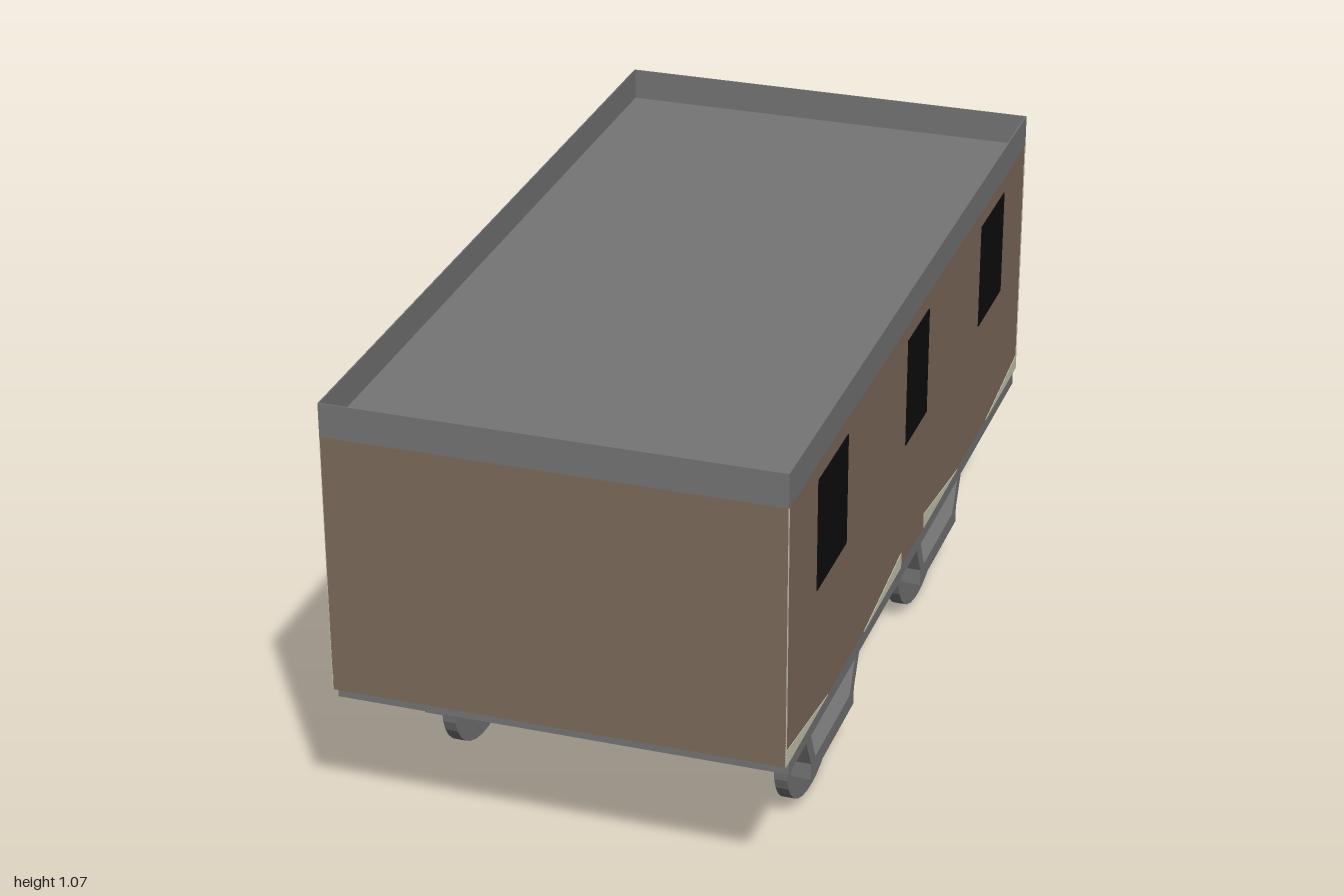
import * as THREE from 'three';

export function createModel() {
  const model = new THREE.Group();
  const material = (name, color, extra = {}) => {
    const m = new THREE.MeshStandardMaterial({ color, flatShading: true, ...extra });
    m.name = name;
    return m;
  };
  const brown = material('brown wall', 0x7e6b5c);
  const grey = material('grey metal', 0x757575, { side: THREE.DoubleSide });
  const black = material('black glass', 0x0d0d0d);
  const cream = material('cream trim', 0xc9c7b0, { side: THREE.DoubleSide });

  const add = (name, geometry, mat, x = 0, y = 0, z = 0) => {
    const mesh = new THREE.Mesh(geometry, mat);
    mesh.name = name;
    mesh.position.set(x, y, z);
    model.add(mesh);
    return mesh;
  };
  const box = (name, mat, w, h, d, x, y, z) =>
    add(name, new THREE.BoxGeometry(w, h, d), mat, x, y, z);

  // Shape drawn in (z, y), extruded across x and centred on x = 0
  const sideProfile = (points, width) => {
    const shape = new THREE.Shape(points.map(([z, y]) => new THREE.Vector2(-z, y)));
    const g = new THREE.ExtrudeGeometry(shape, { depth: width, bevelEnabled: false });
    return g.translate(0, 0, -width / 2).rotateY(Math.PI / 2);
  };

  // Body, chassis and recessed roof
  const HALF = 0.508;
  box('body', brown, HALF * 2, 0.608, 2, 0, 0.686, 0);
  box('chassis', grey, 1.016, 0.032, 1.95, 0, 0.366, 0);
  add('roofDeck', new THREE.PlaneGeometry(1.016, 2).rotateX(-Math.PI / 2), grey, 0, 0.993, 0);

  // Thin upstanding rim around the roof
  for (const s of [-1, 1]) {
    box('roofRimSide', grey, 0.003, 0.078, 2, s * (HALF - 0.0005), 1.029, 0);
    box('roofRimEnd', grey, 1.016, 0.078, 0.003, 0, 1.029, s * 0.9985);
  }

  // Windows and tapered trim on both long sides
  for (const s of [-1, 1]) {
    for (const [z, w] of [[0.68, 0.22], [0, 0.18], [-0.68, 0.22]]) {
      box('window', black, 0.004, 0.26, w, s * HALF, 0.82, z);
    }
    for (const e of [-1, 1]) {
      for (const [tall, tip] of [[1, 0.69], [0.1, 0.41]]) {
        const wedge = [[e * tall, 0.42], [e * tall, 0.382], [e * tip, 0.382]];
        add('sillTrim', sideProfile(wedge, 0.003), cream, s * HALF);
      }
      box('cornerTrim', cream, 0.003, 0.608, 0.004, s * HALF, 0.686, e * 0.998);
    }
  }

  // Oval wheels with a splayed hanger frame outside each one
  const hanger = [
    [-0.17, 0.12], [0.17, 0.12], [0.17, 0.16], [0.27, 0.352], [0.235, 0.352],
    [0.135, 0.16], [-0.135, 0.16], [-0.235, 0.352], [-0.27, 0.352], [-0.17, 0.16],
  ];
  for (const s of [-1, 1]) {
    for (const z of [-0.46, 0.46]) {
      add('wheelHanger', sideProfile(hanger, 0.048), grey, s * 0.432, 0, z);
      const wheel = new THREE.CylinderGeometry(1, 1, 0.03, 32).rotateZ(Math.PI / 2);
      wheel.scale(1, 0.1515, 0.2);
      add('wheel', wheel, grey, s > 0 ? 0.395 : -0.386, 0.1515, z);
    }
  }
  return model;
}
